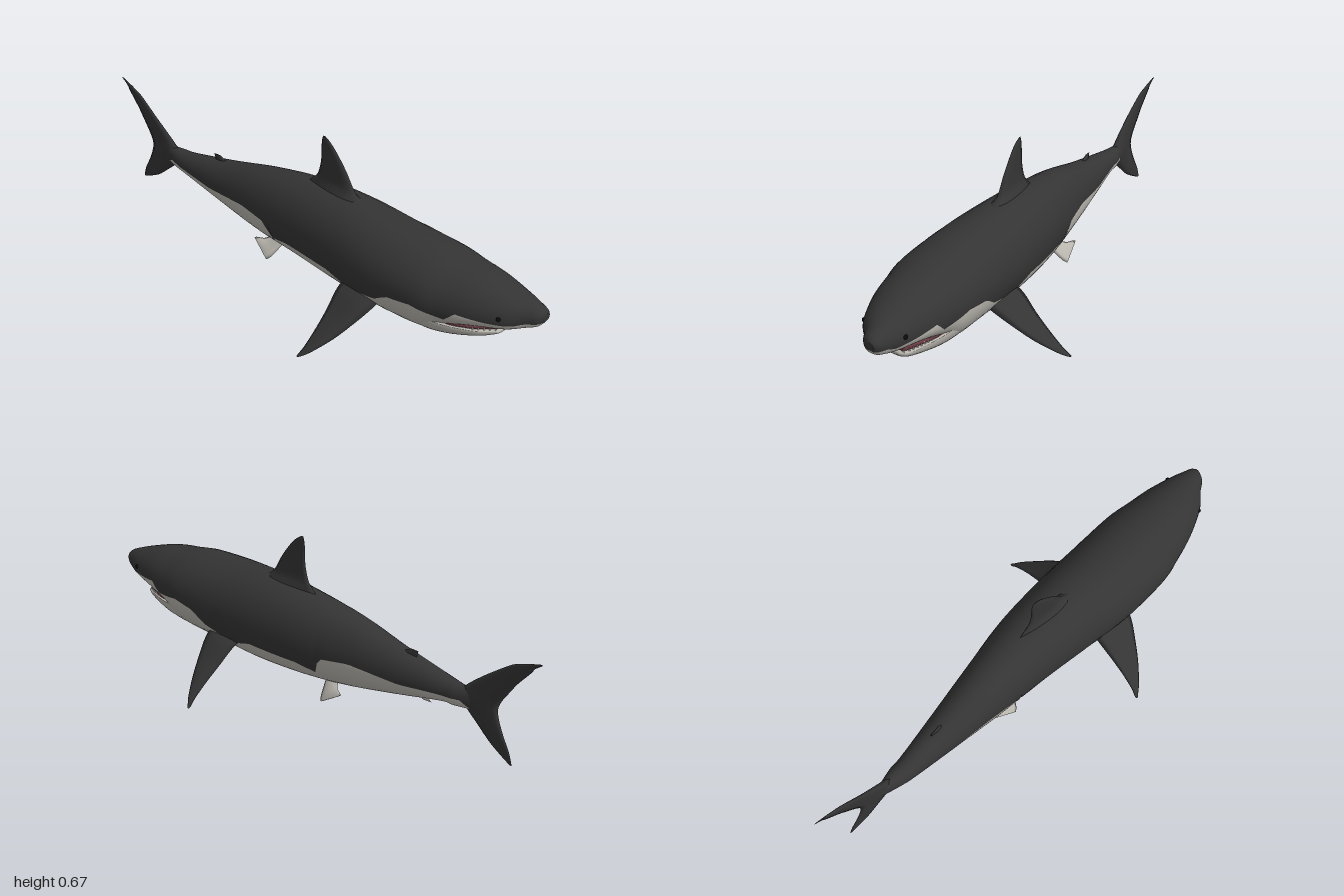
import * as THREE from 'three';

const mat = (name, color, side = THREE.FrontSide) => {
  const m = new THREE.MeshStandardMaterial({ color, side });
  m.name = name;
  return m;
};

// Catmull-Rom refinement of every column of a small table
function refine(rows, steps) {
  const out = [], at = i => rows[Math.min(Math.max(i, 0), rows.length - 1)];
  for (let i = 0; i < rows.length - 1; i++) {
    for (let s = 0; s < steps; s++) {
      const t = s / steps;
      out.push(rows[i].map((b, c) => {
        const a = at(i - 1)[c], d = at(i + 1)[c], e = at(i + 2)[c];
        return b + 0.5 * t * (d - a + t * (2 * a - 5 * b + 4 * d - e + t * (3 * (b - d) + e - a)));
      }));
    }
  }
  out.push(rows[rows.length - 1]);
  return out;
}

// Linear lookup in a table whose first column falls
function lookup(table, z, col = 1) {
  if (z >= table[0][0]) return table[0][col];
  for (let i = 1; i < table.length; i++) {
    const a = table[i - 1], b = table[i];
    if (z >= b[0]) return THREE.MathUtils.lerp(a[col], b[col], (a[0] - z) / (a[0] - b[0]));
  }
  return table[table.length - 1][col];
}

// Closed skin through rings of points; slot(i, j) picks the material of a quad
function loft(name, rings, mats, slot = () => 0) {
  const n = rings[0].length, verts = rings.flat(), faces = mats.map(() => []);
  for (let i = 0; i < rings.length - 1; i++) {
    for (let j = 0; j < n; j++) {
      const a = i * n + j, b = i * n + (j + 1) % n;
      faces[slot(i, j)].push([a, a + n, b], [b, a + n, b + n]);
    }
  }
  for (const end of [0, rings.length - 1]) {
    const c = new THREE.Vector3();
    rings[end].forEach(p => c.addScaledVector(p, 1 / n));
    const k = verts.push(c) - 1;
    for (let j = 0; j < n; j++) {
      const a = end * n + j, b = end * n + (j + 1) % n;
      faces[0].push(end ? [a, k, b] : [a, b, k]);
    }
  }
  // Turn the skin outward whichever way the rings run
  let volume = 0;
  const cross = new THREE.Vector3();
  faces.flat().forEach(([a, b, c]) => { volume += cross.crossVectors(verts[a], verts[b]).dot(verts[c]); });
  if (volume < 0) faces.flat().forEach(f => f.reverse());
  const g = new THREE.BufferGeometry().setFromPoints(verts);
  g.setIndex(faces.flat(2));
  let start = 0;
  faces.forEach((f, m) => { g.addGroup(start, f.length * 3, m); start += f.length * 3; });
  g.computeVertexNormals();
  const mesh = new THREE.Mesh(g, mats);
  mesh.name = name;
  return mesh;
}

// z, top, bottom, widest height, right edge, left edge
const BODY = [
  [1, 0.335, 0.305, 0.32, 0.075, 0.105], [0.985, 0.348, 0.283, 0.318, 0.048, 0.118],
  [0.95, 0.363, 0.268, 0.31, 0.02, 0.13], [0.9, 0.38, 0.255, 0.305, -0.03, 0.145],
  [0.8, 0.41, 0.238, 0.3, -0.085, 0.163], [0.7, 0.425, 0.2, 0.295, -0.122, 0.172],
  [0.6, 0.44, 0.135, 0.295, -0.15, 0.178], [0.4, 0.455, 0.124, 0.285, -0.165, 0.167],
  [0.2, 0.465, 0.12, 0.285, -0.155, 0.15], [0, 0.455, 0.13, 0.29, -0.145, 0.12],
  [-0.2, 0.425, 0.15, 0.285, -0.14, 0.07], [-0.4, 0.375, 0.19, 0.28, -0.13, 0.02],
  [-0.6, 0.333, 0.235, 0.28, -0.12, -0.03], [-0.66, 0.325, 0.24, 0.28, -0.113, -0.04],
  [-0.75, 0.32, 0.25, 0.28, -0.095, -0.07], [-0.8, 0.3, 0.26, 0.28, -0.09, -0.08],
];
const JAW = [
  [0.865, 0.222, 0.21, 0.216, 0.02, 0.09], [0.85, 0.23, 0.198, 0.22, 0, 0.115],
  [0.8, 0.235, 0.182, 0.225, -0.05, 0.135], [0.7, 0.24, 0.158, 0.23, -0.105, 0.155],
  [0.6, 0.24, 0.137, 0.235, -0.125, 0.155], [0.5, 0.22, 0.14, 0.2, -0.1, 0.13],
];
const MOUTH = [
  [0.855, 0.25, 0.215, 0.235, 0.015, 0.1], [0.84, 0.255, 0.215, 0.235, 0, 0.11],
  [0.8, 0.255, 0.215, 0.24, -0.045, 0.128], [0.73, 0.255, 0.215, 0.24, -0.088, 0.147],
  [0.68, 0.245, 0.215, 0.235, -0.09, 0.14],
];
// z and height of the edge between dark back and pale belly
const EDGE = [
  [1, 0.3], [0.96, 0.3], [0.93, 0.29], [0.85, 0.295], [0.76, 0.305], [0.72, 0.265], [0.6, 0.285],
  [0.5, 0.27], [0.44, 0.225], [0.3, 0.19], [0.2, 0.225], [-0.02, 0.22], [-0.1, 0.2], [-0.13, 0.27],
  [-0.25, 0.285], [-0.45, 0.265], [-0.6, 0.275], [-0.69, 0.28], [-0.72, 0.255], [-0.8, 0.262],
];
const HALF = 20;
const spine = z => (lookup(BODY, z, 4) + lookup(BODY, z, 5)) / 2;

// Ring of a body section, its columns starting on the colour edge
function bodyRing([z, top, bottom, mid, r, l], edge = mid) {
  const h = edge > mid ? top - mid : mid - bottom;
  const start = Math.asin(THREE.MathUtils.clamp((edge - mid) / h, -0.97, 0.97));
  const low = THREE.MathUtils.lerp(0.92, 0.65, THREE.MathUtils.smoothstep(z, 0.5, 0.75));
  return Array.from({ length: HALF * 2 }, (_, j) => {
    const t = j < HALF
      ? start + (Math.PI - 2 * start) * j / HALF
      : Math.PI - start + (Math.PI + 2 * start) * (j - HALF) / HALF;
    const c = Math.cos(t), s = Math.sin(t);
    const w = s < 0 ? Math.sign(c) * Math.abs(c) ** low : c;
    return new THREE.Vector3((l + r) / 2 + w * (l - r) / 2, mid + s * (s > 0 ? top - mid : mid - bottom), z);
  });
}

// Fin through rows of leading point, trailing point and half thickness
function fin(name, rows, normal, mats, slot) {
  const m = 8;
  const rings = refine(rows, 4).map(([a, b, c, d, e, f, th]) => {
    const lead = new THREE.Vector3(a, b, c), trail = new THREE.Vector3(d, e, f);
    return Array.from({ length: 2 * m }, (_, k) => {
      const u = k <= m ? k / m : 2 - k / m;
      const bulge = 2.6 * Math.sqrt(u) * (1 - u) * th * (k <= m ? 1 : -1);
      return lead.clone().lerp(trail, u).addScaledVector(normal, bulge);
    });
  });
  return loft(name, rings, mats, slot);
}

// Upright fin on the spine: height, leading z, trailing z, half thickness
const uprightFin = (name, rows, mats) => fin(name,
  rows.map(([y, a, b, th]) => [spine(a), y, a, spine(b), y, b, th]), new THREE.Vector3(1, 0, 0), mats);

export function createModel() {
  const model = new THREE.Group();
  model.name = 'shark';
  const dark = mat('dark grey skin', 0x343434), pale = mat('pale belly', 0xb8b5ad);
  const gum = mat('dark pink mouth', 0x6b3a44), white = mat('tooth white', 0xd6d2ca);
  const black = mat('eye black', 0x0c0c0c);

  // Body, lower jaw and mouth lining
  model.add(loft('body', refine(BODY, 10).map(r => bodyRing(r, lookup(EDGE, r[0]))), [dark, pale],
    (i, j) => (j < HALF ? 0 : 1)));
  model.add(loft('lowerJaw', refine(JAW, 6).map(r => bodyRing(r)), [pale]));
  model.add(loft('mouth', refine(MOUTH, 5).map(r => bodyRing(r)), [gum]));

  // Lower teeth along both sides of the jaw
  const teeth = new THREE.Group();
  teeth.name = 'teeth';
  for (let i = 0; i < 9; i++) {
    const z = 0.855 - i * 0.014;
    for (const [col, inset] of [[4, 0.005], [5, -0.005]]) {
      const tooth = new THREE.Mesh(new THREE.ConeGeometry(0.0035, 0.012, 5), white);
      tooth.name = 'tooth';
      tooth.position.set(lookup(JAW, z, col) + inset, lookup(JAW, z, 1) + 0.002, z);
      teeth.add(tooth);
    }
  }
  model.add(teeth);

  // Eyes, pectoral fins and pelvic fins in mirrored pairs
  for (const s of [1, -1]) {
    const side = s > 0 ? 'left' : 'right';
    const eye = new THREE.Mesh(new THREE.SphereGeometry(0.009, 14, 10), black);
    eye.name = side + 'Eye';
    eye.position.set(spine(0.89) + s * 0.087, 0.318, 0.89);
    model.add(eye);

    const pectoral = [
      [0.1, 0.215, 0.45, 0.1, 0.215, 0.27, 0.016], [0.16, 0.175, 0.435, 0.16, 0.185, 0.272, 0.014],
      [0.22, 0.125, 0.405, 0.22, 0.13, 0.28, 0.009], [0.28, 0.075, 0.37, 0.28, 0.08, 0.285, 0.007],
      [0.34, 0.028, 0.325, 0.34, 0.03, 0.285, 0.005], [0.365, 0.008, 0.3, 0.365, 0.008, 0.28, 0.003],
      [0.377, 0.002, 0.287, 0.377, 0.002, 0.28, 0.001],
    ].map(([a, b, c, d, e, f, t]) => [s * a, b, c, s * d, e, f, t]);
    // Dark above, pale below with a dark tip
    model.add(fin(side + 'PectoralFin', pectoral, new THREE.Vector3(s * 0.62, 0.78, 0), [dark, pale],
      (i, j) => (j < 9 || i > 17 ? 0 : 1)));

    const x = -0.027;
    const pelvic = [
      [0.03, 0.165, -0.09, 0.03, 0.165, -0.15, 0.01], [0.065, 0.125, -0.105, 0.06, 0.145, -0.175, 0.007],
      [0.09, 0.1, -0.117, 0.075, 0.143, -0.203, 0.004], [0.102, 0.088, -0.13, 0.082, 0.14, -0.215, 0.001],
    ].map(([a, b, c, d, e, f, t]) => [x + s * a, b, c, x + s * d, e, f, t]);
    model.add(fin(side + 'PelvicFin', pelvic, new THREE.Vector3(s * 0.7, 0.7, 0), [pale]));
  }

  // Upright fins along the midline
  model.add(uprightFin('dorsalFin', [
    [0.44, 0.28, -0.02, 0.04], [0.47, 0.23, 0.005, 0.022], [0.5, 0.2, 0.03, 0.011], [0.56, 0.165, 0.045, 0.008],
    [0.62, 0.12, 0.047, 0.006], [0.65, 0.09, 0.05, 0.004], [0.667, 0.065, 0.055, 0.001]], [dark]));
  model.add(uprightFin('secondDorsalFin', [
    [0.34, -0.38, -0.47, 0.01], [0.365, -0.415, -0.475, 0.006], [0.383, -0.445, -0.48, 0.002]], [dark]));
  model.add(uprightFin('analFin', [
    [0.235, -0.45, -0.51, 0.008], [0.215, -0.48, -0.53, 0.005], [0.203, -0.505, -0.545, 0.002]], [pale]));
  model.add(uprightFin('tailFin', [
    [0.1, -0.893, -0.905, 0.001], [0.145, -0.81, -0.89, 0.005], [0.2, -0.745, -0.86, 0.009],
    [0.25, -0.69, -0.838, 0.014], [0.29, -0.66, -0.83, 0.018], [0.33, -0.69, -0.845, 0.013],
    [0.38, -0.745, -0.878, 0.009], [0.42, -0.795, -0.905, 0.007], [0.48, -0.875, -0.955, 0.005],
    [0.5, -0.92, -0.968, 0.004], [0.525, -0.985, -1, 0.001]], [dark]));
  return model;
}
